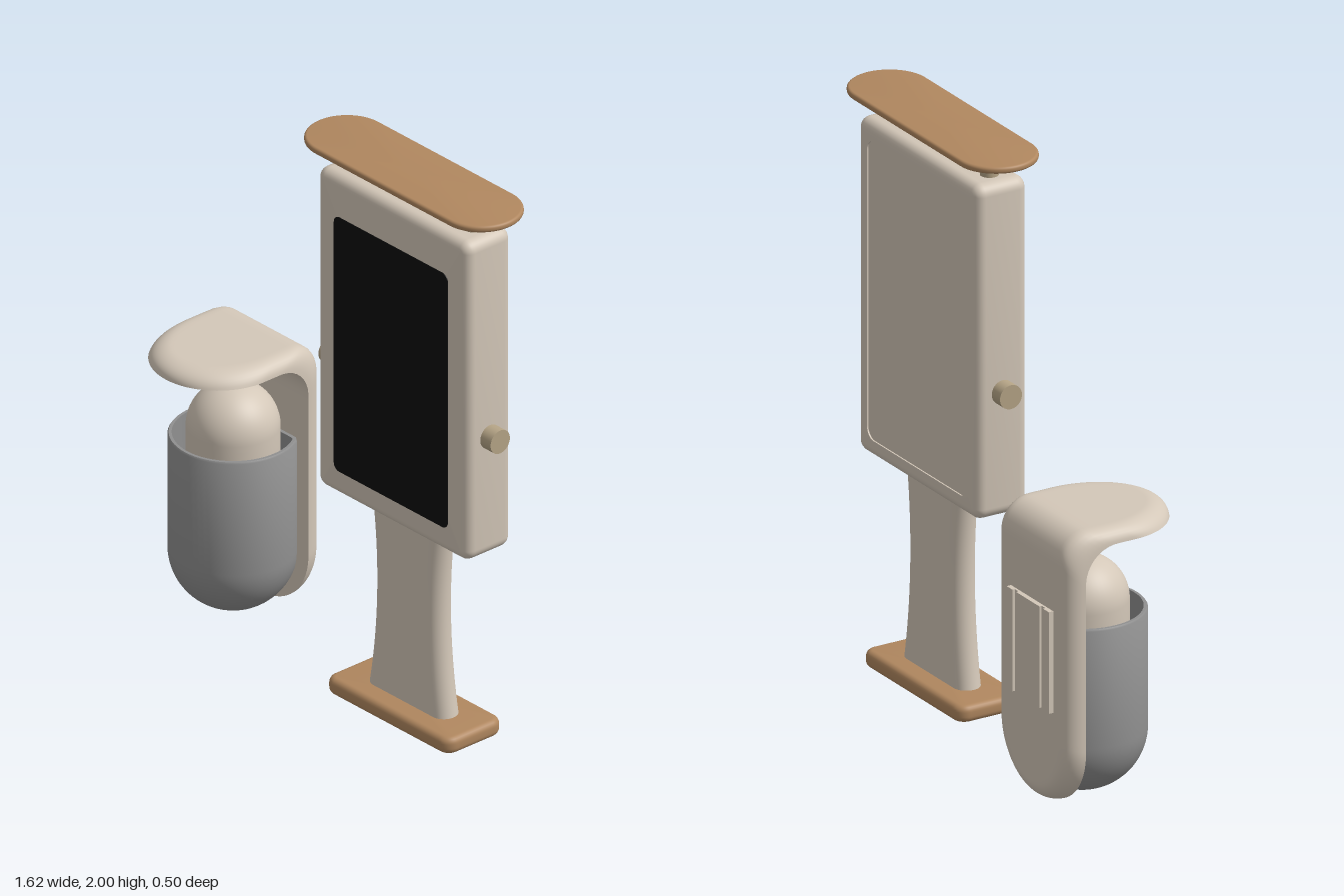
import * as THREE from 'three';
import { toCreasedNormals } from 'three/addons/utils/BufferGeometryUtils.js';
import { ParametricGeometry } from 'three/addons/geometries/ParametricGeometry.js';

const mat = (name, color, side = THREE.FrontSide) => {
  const m = new THREE.MeshStandardMaterial({ color, side });
  m.name = name;
  return m;
};

// Smooth normals with sharp edges kept; scaled up so small details are not merged
function crease(geo, angle = 0.6) {
  const g = toCreasedNormals(geo.scale(100, 100, 100), angle);
  return g.scale(0.01, 0.01, 0.01);
}

// Rounded-rectangle cross-sections [width, depth, cornerRadius, y] stacked upwards, capped at both ends
function loft(layers, n = 10) {
  const pos = [], idx = [], count = 4 * (n + 1);
  for (const [w, d, r, y] of layers) {
    for (let c = 0; c < 4; c++) {
      const sx = c === 0 || c === 3 ? 1 : -1, sz = c < 2 ? 1 : -1;
      for (let i = 0; i <= n; i++) {
        const a = (c + i / n) * Math.PI / 2;
        pos.push(sx * (w / 2 - r) + r * Math.cos(a), y, sz * (d / 2 - r) + r * Math.sin(a));
      }
    }
  }
  const last = layers.length - 1, bottom = layers.length * count, top = bottom + 1;
  pos.push(0, layers[0][3], 0, 0, layers[last][3], 0);
  for (let j = 0; j < count; j++) {
    const k = (j + 1) % count;
    for (let i = 0; i < last; i++) {
      const a = i * count + j, b = i * count + k;
      idx.push(a, a + count, b, b, a + count, b + count);
    }
    idx.push(bottom, j, k, top, last * count + k, last * count + j);
  }
  const g = new THREE.BufferGeometry();
  g.setAttribute('position', new THREE.Float32BufferAttribute(pos, 3));
  g.setIndex(idx);
  return crease(g);
}

// Layers of a slab whose top and bottom edges are rounded by b
function slab(w, d, r, b, y0, y1, n = 6) {
  const lower = [], upper = [];
  for (let i = 0; i <= n; i++) {
    const a = i / n * Math.PI / 2, inset = b * (1 - Math.sin(a)), dy = b * (1 - Math.cos(a));
    const size = [w - 2 * inset, d - 2 * inset, Math.max(r - inset, 0.001)];
    lower.push([...size, y0 + dy]);
    upper.unshift([...size, y1 - dy]);
  }
  return [...lower, ...upper];
}

// Bent shell: a wall with a round foot that curves forward into a round-nosed canopy
function shellGeometry(outer) {
  const R = 0.225, T = 0.055, front = 0.25;
  const inner = { z: -0.168, top: 0.934, r: 0.12 }, skin = { z: -0.237, top: 0.984, r: 0.1 };
  const wall = inner.top - inner.r, arc = inner.r * Math.PI / 2;
  const roof = front - inner.z - inner.r, L = wall + arc + roof;
  const along = (p, s) => {
    if (s < wall) return [s / wall * (p.top - p.r), p.z];
    if (s < wall + arc) {
      const a = (s - wall) / p.r * (p.r / inner.r);
      return [p.top - p.r + p.r * Math.sin(a), p.z + p.r * (1 - Math.cos(a))];
    }
    const t = (s - wall - arc) / roof;
    return [p.top, p.z + p.r + t * (front - p.z - p.r)];
  };
  const surface = (u, v, target) => {
    let s;
    if (v < 1 / 3) s = R * (1 - Math.cos(v * 1.5 * Math.PI));
    else if (v < 2 / 3) s = R + (v * 3 - 1) * (L - 2 * R);
    else s = L - R + R * Math.sin((v * 3 - 2) * Math.PI / 2);
    const over = Math.max(R - s, s - L + R, 0);
    const w = Math.sqrt(Math.max(R * R - over * over, 0));
    const x = w * Math.sin((u - 0.5) * Math.PI) * (outer ? -1 : 1);
    const d = Math.min(Math.max(R - Math.hypot(x, over), 0), T);
    const f = outer ? Math.sqrt(Math.max(1 - (1 - d / T) ** 2, 0)) : 0;
    const [y0, z0] = along(inner, s), [y1, z1] = along(skin, s);
    target.set(x, y0 + (y1 - y0) * f, z0 + (z1 - z0) * f);
  };
  return crease(new ParametricGeometry(surface, 32, 120));
}

export function createModel() {
  const beige = mat('beige casing', 0xd3c7b8);
  const wood = mat('warm wood', 0xb0875f);
  const tan = mat('tan fittings', 0xb5a486);
  const gray = mat('gray bin', 0x909090);
  const black = mat('black screen', 0x0c0c0c);

  const model = new THREE.Group();
  const add = (parent, name, geo, material, x = 0, y = 0, z = 0) => {
    const m = new THREE.Mesh(geo, material);
    m.name = name;
    m.position.set(x, y, z);
    parent.add(m);
    return m;
  };

  // Display stand
  const kiosk = new THREE.Group();
  kiosk.name = 'displayStand';
  kiosk.position.set(0.349, 0, 0.01);
  model.add(kiosk);

  // Foot with a slot sunk into its underside
  add(kiosk, 'foot', loft([[0.38, 0.095, 0.047, 0.045], [0.38, 0.095, 0.047, 0],
    ...slab(0.603, 0.248, 0.045, 0.022, 0, 0.06)]), wood);

  // Waisted column
  const column = [];
  for (let i = 0; i <= 20; i++) {
    const y = 0.055 + 0.69 * i / 20;
    column.push([2 * (0.155 + 0.24 * (y - 0.45) ** 2), 0.095, 0.0474, y]);
  }
  add(kiosk, 'column', loft(column), beige);

  // Cabinet with a shallow panel recess in its back
  add(kiosk, 'cabinet', loft([[0.61, 1.05, 0.04, -0.093], [0.61, 1.05, 0.04, -0.098],
    ...slab(0.736, 1.175, 0.04, 0.035, -0.098, 0.098)]).rotateX(Math.PI / 2), beige, 0, 1.3175, 0);
  add(kiosk, 'screen', loft([[0.551, 0.937, 0.025, 0], [0.551, 0.937, 0.025, 0.004]])
    .rotateX(Math.PI / 2), black, -0.002, 1.2915, 0.097);

  // Roof posts and side knobs
  for (const side of [-1, 1]) {
    add(kiosk, 'roofPost', new THREE.CylinderGeometry(0.031, 0.031, 0.09, 32), tan, side * 0.286, 1.938, 0);
    add(kiosk, 'sideKnob', new THREE.CylinderGeometry(0.042, 0.042, 0.06, 40).rotateZ(Math.PI / 2),
      tan, side * 0.388, 1.169, 0);
  }
  add(kiosk, 'roof', loft(slab(0.928, 0.278, 0.139, 0.01, 1.976, 2), 20), wood, -0.001);

  // Wall unit
  const unit = new THREE.Group();
  unit.name = 'wallUnit';
  unit.position.x = -0.588;
  model.add(unit);

  add(unit, 'shellInside', shellGeometry(false), beige);
  add(unit, 'shellOutside', shellGeometry(true), beige);

  // Round-bottomed open bin, flattened where it meets the shell
  const r = 0.213, wallT = 0.014, profile = [];
  for (let i = 0; i <= 20; i++) {
    const a = i / 20 * Math.PI / 2;
    profile.push(new THREE.Vector2(r * Math.sin(a), 0.218 - r * Math.cos(a)));
  }
  profile.push(new THREE.Vector2(r, 0.63), new THREE.Vector2(r - 0.004, 0.636), new THREE.Vector2(r - wallT, 0.636));
  for (let i = 20; i >= 0; i--) {
    const a = i / 20 * Math.PI / 2;
    profile.push(new THREE.Vector2((r - wallT) * Math.sin(a), 0.218 - (r - wallT) * Math.cos(a)));
  }
  const bin = new THREE.LatheGeometry(profile, 64);
  const p = bin.attributes.position, backZ = -0.128;
  for (let i = 0; i < p.count; i++) {
    const inside = i % profile.length > 22 ? wallT : 0;
    p.setZ(i, Math.max(p.getZ(i), backZ + inside));
  }
  add(unit, 'bin', crease(bin), gray, 0, 0, -0.042);

  // Domed core standing in the bin
  const dome = [new THREE.Vector2(0, 0.1), new THREE.Vector2(0.12, 0.1), new THREE.Vector2(0.154, 0.2)];
  for (let i = 0; i <= 24; i++) {
    const a = i / 24 * Math.PI / 2;
    dome.push(new THREE.Vector2(0.154 * Math.cos(a), 0.661 + 0.154 * Math.sin(a)));
  }
  const core = new THREE.LatheGeometry(dome, 48);
  const q = core.attributes.position;
  for (let i = 0; i < q.count; i++) q.setZ(i, Math.max(q.getZ(i), -0.126));
  add(unit, 'domedCore', crease(core), beige, 0, 0, -0.042);

  // Mounting plate with two upright grooves
  const plate = new THREE.Shape();
  plate.moveTo(-0.129, 0).lineTo(0.129, 0).lineTo(0.129, 0.024);
  for (const x of [0.082, -0.082]) {
    plate.lineTo(x + 0.011, 0.024).lineTo(x + 0.011, 0.015).lineTo(x - 0.011, 0.015).lineTo(x - 0.011, 0.024);
  }
  plate.lineTo(-0.129, 0.024);
  add(unit, 'mountingPlate', new THREE.ExtrudeGeometry(plate, { depth: 0.357, bevelEnabled: false })
    .rotateX(-Math.PI / 2), beige, -0.006, 0.349, -0.23);

  return model;
}
